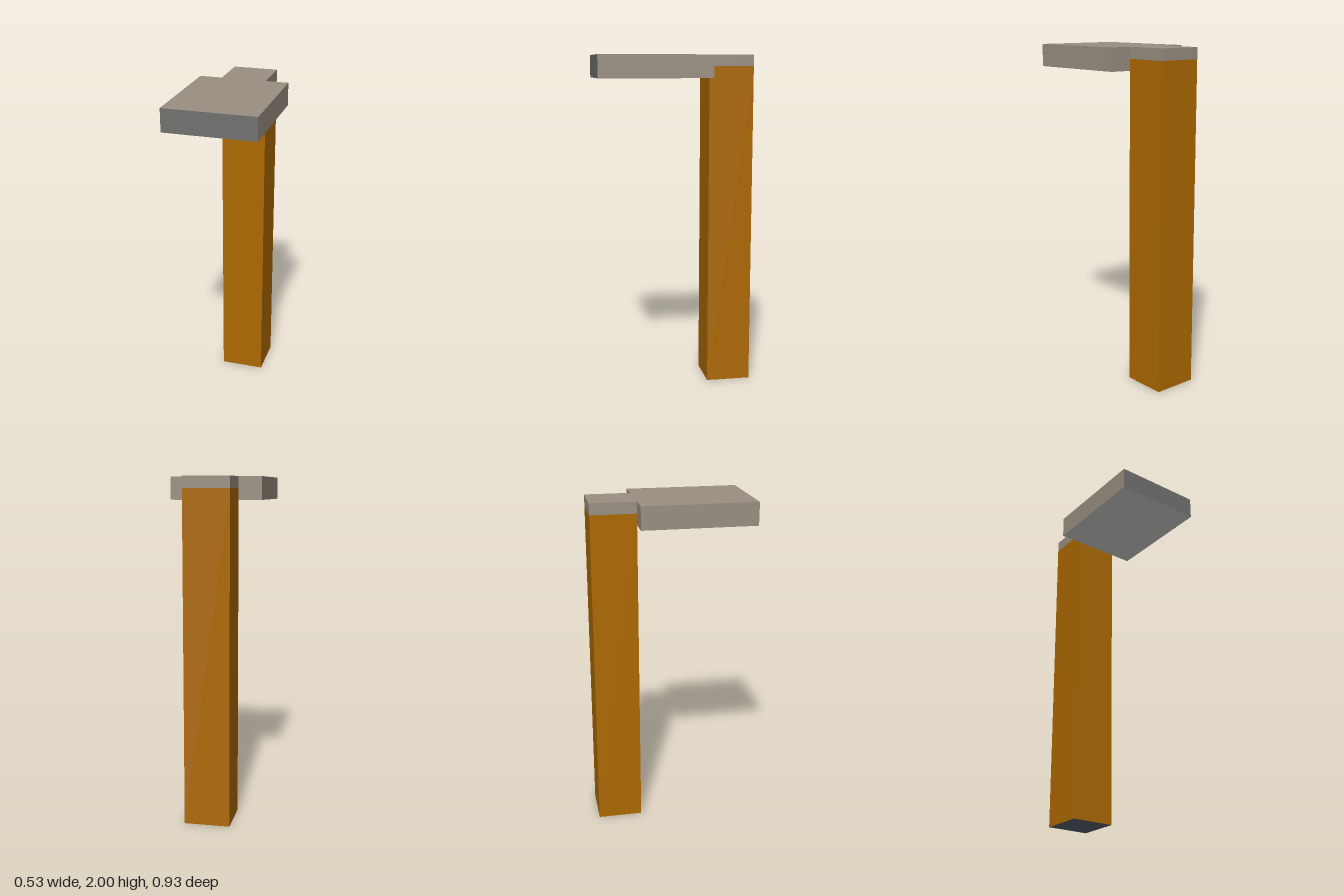
import * as THREE from 'three';

const material = (name, color) => {
  const m = new THREE.MeshStandardMaterial({ color });
  m.name = name;
  return m;
};

// Box given by its lower and upper corners; materials run +x, -x, +y, -y, +z, -z
function block(name, [x0, y0, z0], [x1, y1, z1], materials) {
  const geometry = new THREE.BoxGeometry(x1 - x0, y1 - y0, z1 - z0);
  geometry.translate((x0 + x1) / 2, (y0 + y1) / 2, (z0 + z1) / 2);
  const mesh = new THREE.Mesh(geometry, materials);
  mesh.name = name;
  return mesh;
}

export function createModel() {
  const wood = material('brown wood', 0xae6a00);
  const stone = material('warm stone', 0x9a9082);
  const slate = material('grey front', 0x72726f);
  const pale = material('pale grey underside', 0xdcdcda);
  const dark = material('blue grey base', 0x5a6875);

  const u = 2 / 15; // module unit
  const back = -3.5 * u, joint = -1.5 * u, front = 3.5 * u;

  const group = new THREE.Group();
  group.name = 'postWithPlate';
  group.add(
    // Tall square post with a dark foot face
    block('post', [-u, 0, back], [u, 14.5 * u, joint], [wood, wood, wood, dark, wood, wood]),
    // Thin cap on the post
    block('postCap', [-u, 14.5 * u, back], [u, 15 * u, joint], stone),
    // Wide plate reaching forward from the post top
    block('plate', [-2 * u, 14 * u, joint], [2 * u, 15 * u, front], [stone, stone, stone, pale, slate, stone]),
  );
  return group;
}
